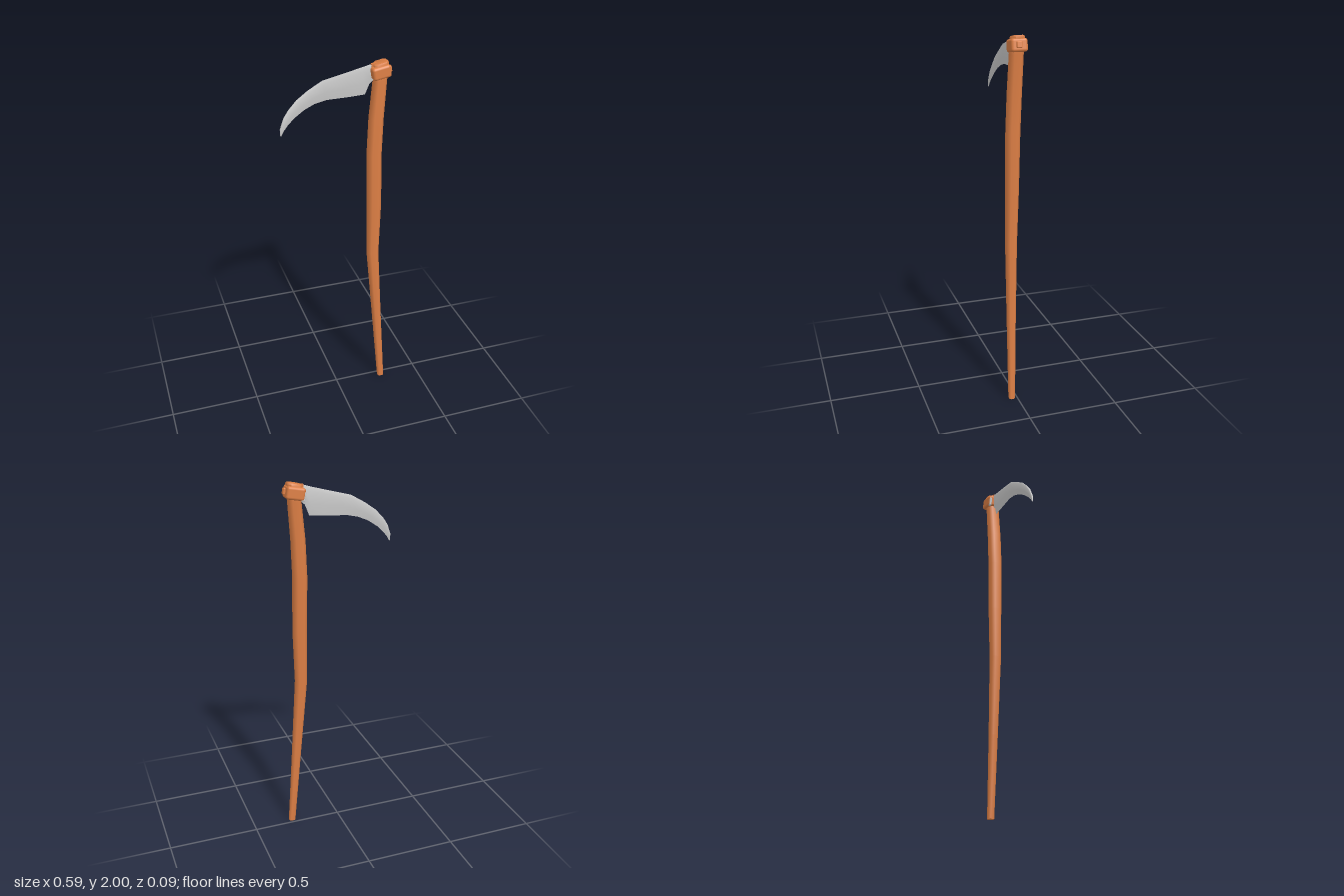
import * as THREE from 'three';
import { toCreasedNormals } from 'three/addons/utils/BufferGeometryUtils.js';
import { RoundedBoxGeometry } from 'three/addons/geometries/RoundedBoxGeometry.js';

const wood = new THREE.MeshStandardMaterial({ color: 0xdd7f45 });
const steel = new THREE.MeshStandardMaterial({ color: 0xcccccc });

// Skin a list of equal-sized rings of [x, y, z] points and close both ends
function loft(rings, crease) {
  const n = rings[0].length, last = (rings.length - 1) * n, index = [];
  for (let i = 0; i < rings.length - 1; i++) {
    for (let j = 0; j < n; j++) {
      const a = i * n + j, b = i * n + (j + 1) % n;
      index.push(a, b, b + n, a, b + n, a + n);
    }
  }
  for (let j = 1; j < n - 1; j++) {
    index.push(0, j + 1, j, last, last + j, last + j + 1);
  }
  const geo = new THREE.BufferGeometry();
  geo.setAttribute('position', new THREE.Float32BufferAttribute(rings.flat(2), 3));
  geo.setIndex(index);
  return toCreasedNormals(geo, crease);
}

function add(group, name, geo, mat, pos = [0, 0, 0], tilt = 0) {
  const mesh = new THREE.Mesh(geo, mat);
  mesh.name = name;
  mesh.position.set(...pos);
  mesh.rotation.z = tilt;
  group.add(mesh);
}

// Chamfered square outline, counter-clockwise seen from above
const c = 0.55;
const octagon = [[1, c], [1, -c], [c, -1], [-c, -1], [-1, -c], [-1, c], [-c, 1], [c, 1]];

export function createModel() {
  const group = new THREE.Group();

  // Bent wooden shaft: y, xMin, xMax, zMin, zMax, slope of the section
  const shaft = [
    [0, 0.257, 0.292, 0.013, 0.046, 0],
    [0.45, 0.217, 0.264, 0.001, 0.045, 0],
    [0.9, 0.177, 0.238, -0.013, 0.043, 0],
    [1.2, 0.175, 0.246, -0.02, 0.043, 0],
    [1.5, 0.17, 0.241, -0.027, 0.041, 0],
    [1.7, 0.178, 0.248, -0.031, 0.037, 0],
    [1.9, 0.197, 0.262, -0.034, 0.032, 0.1],
    [1.985, 0.193, 0.27, -0.038, 0.028, 0.15],
    [1.992, 0.198, 0.266, -0.034, 0.024, 0.2],
  ];
  const rings = shaft.map(([y, x0, x1, z0, z1, slope]) => octagon.map(([u, v]) => {
    const hx = (x1 - x0) / 2;
    return [(x0 + x1) / 2 + u * hx, y + slope * u * hx, (z0 + z1) / 2 + v * (z1 - z0) / 2];
  }));
  add(group, 'shaft', loft(rings, 0.9), wood);

  // Curved blade: spine x, y, edge x, y, centre z, half thickness
  const blade = [
    [0.215, 1.975, 0.215, 1.915, -0.006, 0.006],
    [0.18, 1.98, 0.177, 1.88, -0.01, 0.007],
    [0.14, 1.968, 0.156, 1.825, -0.014, 0.007],
    [0.06, 1.947, 0.07, 1.818, -0.021, 0.007],
    [-0.066, 1.915, -0.045, 1.813, -0.029, 0.007],
    [-0.14, 1.872, -0.105, 1.799, -0.031, 0.007],
    [-0.2, 1.83, -0.16, 1.775, -0.028, 0.007],
    [-0.245, 1.783, -0.215, 1.738, -0.025, 0.006],
    [-0.272, 1.745, -0.252, 1.703, -0.021, 0.006],
    [-0.293, 1.69, -0.274, 1.677, -0.017, 0.005],
    [-0.292, 1.655, -0.287, 1.653, -0.015, 0.002],
  ];
  // Section points: share of the way from spine to edge, side
  const lens = [[1, 0], [0.6, 0.75], [0.15, 1], [0, 0.5], [0, -0.5], [0.15, -1], [0.6, -0.75]];
  const sections = blade.map(([sx, sy, ex, ey, z, h]) => lens.map(([t, s]) =>
    [sx + (ex - sx) * t, sy + (ey - sy) * t, z + s * h]));
  add(group, 'blade', loft(sections, 1.1), steel);

  // Tilted clamp block with its wedge, heel tab and square peg
  add(group, 'clamp', new RoundedBoxGeometry(0.098, 0.066, 0.085, 2, 0.014), wood,
    [0.23, 1.944, -0.005], 0.18);
  add(group, 'wedge', new THREE.BoxGeometry(0.03, 0.03, 0.014), wood, [0.2, 1.972, -0.008], 0.18);
  add(group, 'heelTab', new RoundedBoxGeometry(0.022, 0.05, 0.014, 2, 0.005), steel,
    [0.192, 1.928, -0.037], 0.18);
  add(group, 'peg', new RoundedBoxGeometry(0.03, 0.032, 0.028, 2, 0.005), wood,
    [0.274, 1.953, 0.0], 0.18);

  return group;
}
